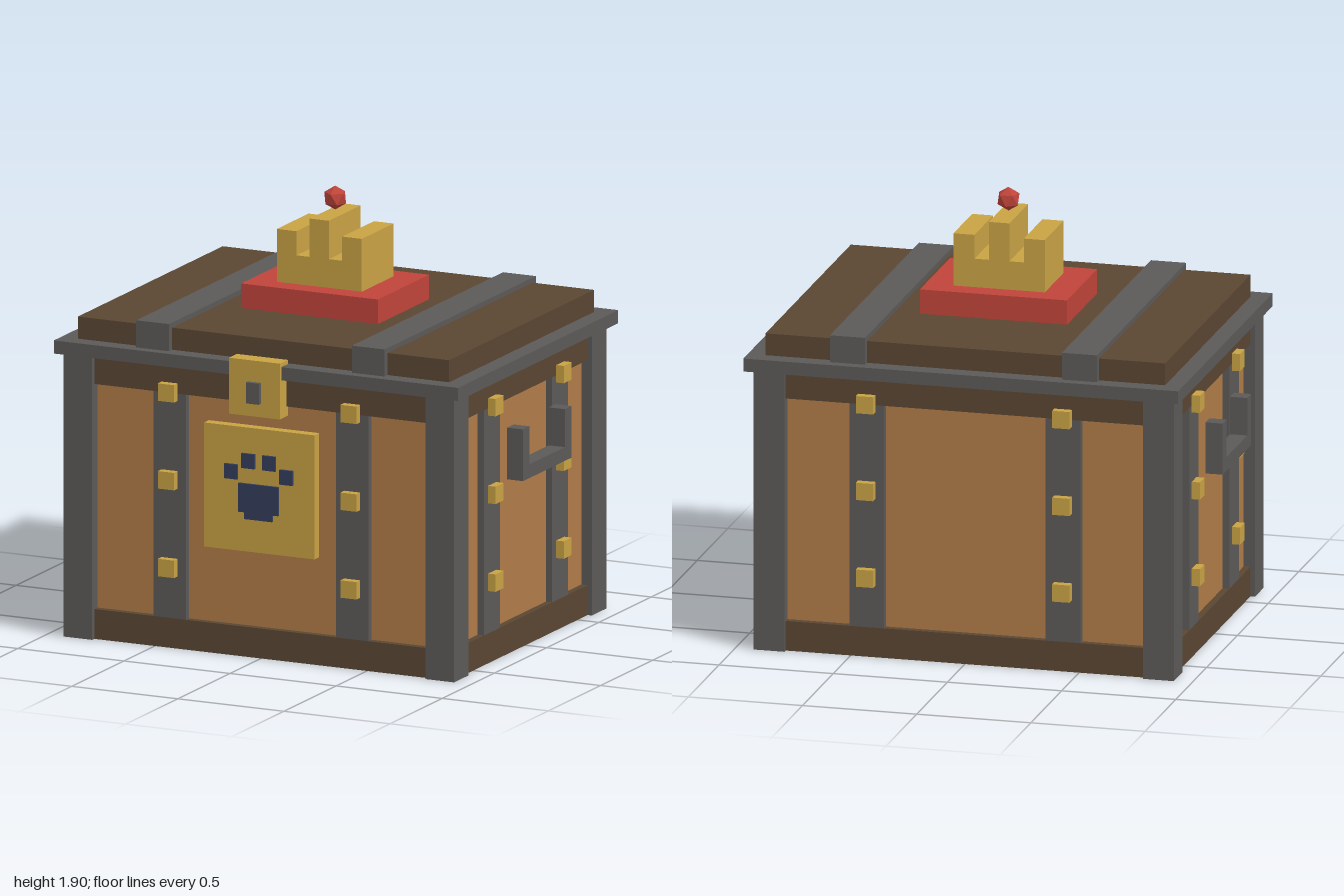
import * as THREE from 'three';

const mat = (name, color) => {
  const m = new THREE.MeshStandardMaterial({ color });
  m.name = name;
  return m;
};

export function createModel() {
  const root = new THREE.Group();
  root.name = 'treasureChest';
  const wood = mat('light wood', 0xb07c48);
  const dark = mat('dark wood', 0x5a4632);
  const iron = mat('iron', 0x5c5a58);
  const gold = mat('gold', 0xc8a244);
  const red = mat('red', 0xbf443a);
  const navy = mat('navy', 0x343e5c);

  const group = (name, z) => {
    const g = new THREE.Group();
    g.name = name;
    g.position.z = z;
    root.add(g);
    return g;
  };
  // box given by its lowest and highest corner
  const box = (parent, name, m, [x0, y0, z0], [x1, y1, z1]) => {
    const mesh = new THREE.Mesh(new THREE.BoxGeometry(x1 - x0, y1 - y0, z1 - z0), m);
    mesh.position.set((x0 + x1) / 2, (y0 + y1) / 2, (z0 + z1) / 2);
    mesh.name = name;
    parent.add(mesh);
    return mesh;
  };
  // box centred on x and z
  const slab = (parent, name, m, hx, y0, y1, hz) =>
    box(parent, name, m, [-hx, y0, -hz], [hx, y1, hz]);

  // chest body
  const body = group('body', -0.006);
  slab(body, 'panels', wood, 0.87, 0.004, 1.23, 0.68);
  for (const sx of [-1, 1]) for (const sz of [-1, 1]) {
    const post = box(body, 'cornerPost', iron, [-0.0675, 0, -0.07], [0.0675, 1.235, 0.07]);
    post.position.x = sx * 0.8525;
    post.position.z = sz * 0.66;
  }

  // the four walls: rails, upright straps and studs
  const walls = [
    { turn: 0, out: 0.68, half: 0.785, strap: 0.43 },
    { turn: Math.PI / 2, out: 0.87, half: 0.59, strap: 0.326 },
    { turn: Math.PI, out: 0.68, half: 0.785, strap: 0.43 },
    { turn: -Math.PI / 2, out: 0.87, half: 0.59, strap: 0.326 },
  ];
  for (const { turn, out, half, strap } of walls) {
    const wall = new THREE.Group();
    wall.name = 'wall';
    wall.rotation.y = turn;
    body.add(wall);
    box(wall, 'bottomRail', dark, [-half, 0, out], [half, 0.13, out + 0.03]);
    box(wall, 'topRail', dark, [-half, 1.11, out], [half, 1.235, out + 0.03]);
    for (const s of [-1, 1]) {
      const x = s * strap;
      box(wall, 'wallStrap', iron, [x - 0.076, 0.13, out], [x + 0.076, 1.11, out + 0.03]);
      for (const y of [0.353, 0.735, 1.117])
        box(wall, 'stud', gold, [x - 0.038, y - 0.038, out + 0.01], [x + 0.038, y + 0.038, out + 0.066]);
    }
  }

  // side handles
  for (const s of [-1, 1]) {
    const handle = new THREE.Group();
    handle.name = 'handle';
    handle.position.x = s * 0.9625;
    body.add(handle);
    box(handle, 'grip', iron, [-0.0375, 0.775, -0.232], [0.0375, 0.835, 0.232]);
    for (const z of [-0.2, 0.2])
      box(handle, 'handleArm', iron, [-0.0375, 0.835, z - 0.032], [0.0375, 1, z + 0.032]);
  }

  // lid
  const lid = group('lid', -0.015);
  slab(lid, 'lidRim', iron, 0.952, 1.235, 1.292, 0.768);
  slab(lid, 'lidTop', dark, 0.875, 1.292, 1.388, 0.694);
  for (const s of [-1, 1])
    box(lid, 'lidStrap', iron, [s * 0.508 - 0.077, 1.292, -0.724], [s * 0.508 + 0.077, 1.41, 0.724]);

  // lock and paw plaque on the front
  const front = group('frontFittings', 0);
  box(front, 'hasp', gold, [-0.12, 1.067, 0.69], [0.12, 1.31, 0.766]);
  box(front, 'keyhole', iron, [-0.03, 1.125, 0.766], [0.03, 1.217, 0.785]);
  box(front, 'plaque', gold, [-0.26, 0.463, 0.67], [0.26, 1.003, 0.72]);
  box(front, 'pawPad', navy, [-0.094, 0.635, 0.72], [0.094, 0.76, 0.732]);
  box(front, 'pawHeel', navy, [-0.065, 0.606, 0.72], [0.065, 0.635, 0.732]);
  for (const [x, y] of [[-0.13, 0.806], [-0.049, 0.859], [0.049, 0.859], [0.13, 0.806]])
    box(front, 'pawToe', navy, [x - 0.031, y - 0.032, 0.72], [x + 0.031, y + 0.032, 0.732]);

  // crown on its cushion
  const crown = group('crown', -0.007);
  slab(crown, 'cushion', red, 0.322, 1.388, 1.495, 0.245);
  slab(crown, 'crownBase', gold, 0.2, 1.495, 1.62, 0.152);
  slab(crown, 'middlePoint', gold, 0.045, 1.62, 1.787, 0.152);
  for (const s of [-1, 1])
    box(crown, 'sidePoint', gold, [s * 0.154 - 0.046, 1.62, -0.152], [s * 0.154 + 0.046, 1.725, 0.152]);
  // gem standing on a vertex
  const gemGeo = new THREE.IcosahedronGeometry(0.052, 0);
  gemGeo.rotateZ(Math.atan(2 / (1 + Math.sqrt(5))));
  gemGeo.rotateY(Math.PI / 2);
  const gem = new THREE.Mesh(gemGeo, red);
  gem.name = 'gem';
  gem.position.y = 1.85;
  crown.add(gem);

  return root;
}
